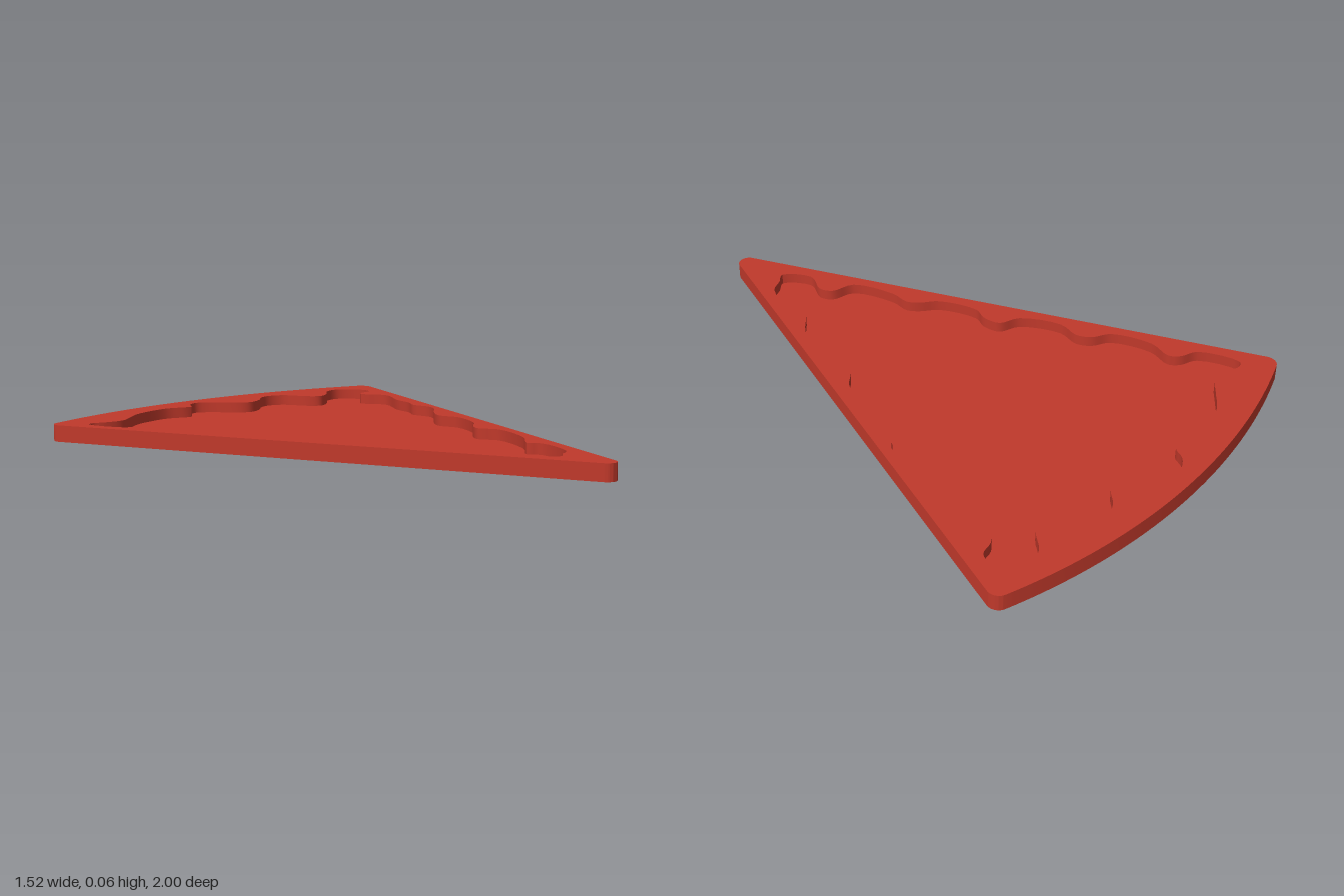
import * as THREE from 'three';
import { toCreasedNormals } from 'three/addons/utils/BufferGeometryUtils.js';

const HEIGHT = 0.058; // full thickness of the slice
const FLOOR = 0.02;   // thickness left under the recess

// Wavy recess edge as [x, z] pairs, one list per side of the slice
const backEdge = [
  [-.67, -.765], [-.645, -.78], [-.6, -.765], [-.53, -.76], [-.47, -.8], [-.4, -.85],
  [-.31, -.88], [-.23, -.89], [-.14, -.865], [-.11, -.91], [-.06, -.935], [-.015, -.91],
  [.065, -.82], [.105, -.805], [.165, -.83], [.215, -.875], [.27, -.89], [.325, -.865],
  [.37, -.775], [.41, -.745], [.465, -.77], [.525, -.83], [.59, -.845],
];
const leftEdge = [
  [.635, -.81], [.66, -.755], [.645, -.715], [.59, -.7], [.565, -.675], [.61, -.585],
  [.54, -.45], [.52, -.37], [.485, -.31], [.49, -.235], [.46, -.18], [.42, -.145],
  [.365, -.085], [.35, -.045], [.365, .025], [.305, .155], [.25, .2], [.22, .25],
  [.25, .315], [.18, .485], [.1, .57], [.125, .61], [.065, .76], [.015, .785], [-.025, .81],
];
const rightEdge = [
  [-.085, .72], [-.05, .64], [-.07, .595], [-.15, .565], [-.2, .415], [-.195, .345],
  [-.22, .305], [-.275, .255], [-.32, .12], [-.3, .07], [-.31, .005], [-.38, -.03],
  [-.445, -.165], [-.43, -.245], [-.455, -.295], [-.515, -.335], [-.56, -.475],
  [-.54, -.56], [-.565, -.595], [-.625, -.625],
];

// Wedge with rounded corners; shape y points to the back (-z)
function wedgeShape() {
  const side = Math.atan2(0.72, 1.801);  // slant of the straight sides
  const arc = Math.atan2(2.026, 0.72);   // where the back arc begins
  const shape = new THREE.Shape();
  shape.absarc(0, -0.965, 0.035, Math.PI + side, 2 * Math.PI - side, false);
  shape.absarc(0.72, 0.836, 0.04, -side, arc, false);
  shape.absarc(0, -1.19, 2.19, arc, Math.PI - arc, false);
  shape.absarc(-0.72, 0.836, 0.04, Math.PI - arc, Math.PI + side, false);
  shape.closePath();
  return shape;
}

// Smooth closed curve through the recess points
function recessPoints() {
  const points = [...backEdge, ...leftEdge, ...rightEdge]
    .map(([x, z]) => new THREE.Vector3(x, -z, 0));
  const curve = new THREE.CatmullRomCurve3(points, true, 'centripetal');
  return curve.getPoints(points.length * 4).slice(0, -1)
    .map((p) => new THREE.Vector2(p.x, p.y));
}

// Extrude a plan shape upward from the ground
function slab(name, shape, height, material) {
  const geometry = new THREE.ExtrudeGeometry(shape, {
    depth: height, bevelEnabled: false, curveSegments: 24,
  });
  geometry.rotateX(-Math.PI / 2);
  const mesh = new THREE.Mesh(toCreasedNormals(geometry, 0.6), material);
  mesh.name = name;
  return mesh;
}

export function createModel() {
  const red = new THREE.MeshStandardMaterial({ color: 0xc0392b });
  red.name = 'red';

  const model = new THREE.Group();
  model.name = 'slice';

  // Raised crust all round, open in the middle
  const recess = recessPoints();
  const outline = wedgeShape();
  outline.holes.push(new THREE.Path(recess));
  model.add(slab('crust', outline, HEIGHT, red));

  // Thin floor filling the recess
  model.add(slab('recessFloor', new THREE.Shape(recess), FLOOR, red));

  return model;
}
